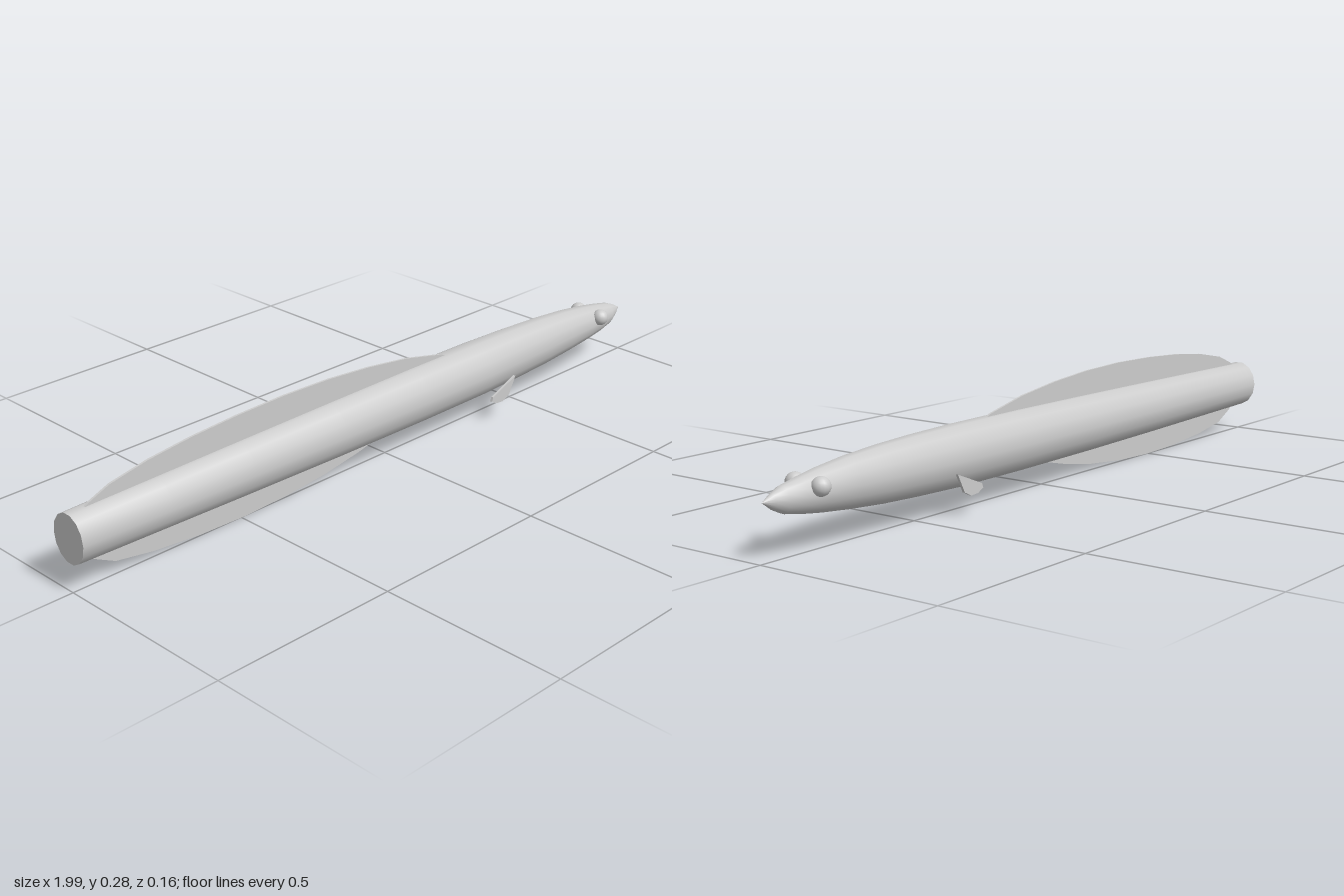
import * as THREE from 'three';

export function createModel() {
  const model = new THREE.Group();
  const skin = new THREE.MeshStandardMaterial({ color: 0xcccccc });
  skin.name = 'pale grey';

  const add = (name, geometry, x = 0, y = 0, z = 0) => {
    const mesh = new THREE.Mesh(geometry, skin);
    mesh.name = name;
    mesh.position.set(x, y, z);
    model.add(mesh);
  };

  // Body stations, tail to snout: x, bottom y, top y, half width
  const stations = [
    [-1, 0.075, 0.2, 0.055], [-0.75, 0.07, 0.203, 0.059], [-0.5, 0.065, 0.206, 0.063],
    [-0.2, 0.06, 0.209, 0.067], [0.1, 0.057, 0.211, 0.069], [0.35, 0.057, 0.21, 0.068],
    [0.5, 0.061, 0.207, 0.063], [0.62, 0.066, 0.202, 0.058], [0.73, 0.074, 0.194, 0.051],
    [0.82, 0.083, 0.183, 0.044], [0.88, 0.091, 0.173, 0.037], [0.93, 0.1, 0.163, 0.027],
    [0.96, 0.114, 0.151, 0.015], [0.99, 0.135, 0.135, 0],
  ];
  const sides = 14;
  const positions = [];
  const indices = [];
  const flat = Math.sin((3 / sides) * Math.PI * 2);
  stations.forEach(([x, bottom, top, half], i) => {
    for (let j = 0; j < sides; j++) {
      const a = (j / sides) * Math.PI * 2;
      const y = (bottom + top) / 2 + ((top - bottom) / 2) * (Math.sin(a) / flat);
      positions.push(x, y, half * Math.cos(a));
      if (i === stations.length - 1) continue;
      const k = (j + 1) % sides;
      const p = i * sides + j, q = i * sides + k;
      indices.push(p, p + sides, q);
      if (i < stations.length - 2) indices.push(q, p + sides, q + sides);
    }
  });
  const body = new THREE.BufferGeometry();
  body.setAttribute('position', new THREE.Float32BufferAttribute(positions, 3));
  body.setIndex(indices);
  body.computeVertexNormals();
  add('body', body);

  // Flat tail end
  const tail = new THREE.CircleGeometry(1, sides);
  tail.scale(0.055, 0.0625 / flat, 1);
  tail.rotateY(-Math.PI / 2);
  add('tailEnd', tail, -1, 0.1375, 0);

  // Thin fins cut from side outlines
  const fin = (outline, depth) => {
    const shape = new THREE.Shape(outline.map(([x, y]) => new THREE.Vector2(x, y)));
    const geometry = new THREE.ExtrudeGeometry(shape, { depth, bevelEnabled: false });
    return geometry.translate(0, 0, -depth / 2);
  };
  add('dorsalFin', fin([
    [-0.96, 0.195], [0.24, 0.205], [0.21, 0.217], [0.08, 0.245], [-0.06, 0.263],
    [-0.2, 0.274], [-0.35, 0.278], [-0.5, 0.275], [-0.64, 0.267], [-0.77, 0.253],
    [-0.88, 0.232], [-0.94, 0.208],
  ], 0.006));
  add('ventralFin', fin([
    [-0.96, 0.078], [-0.94, 0.064], [-0.88, 0.034], [-0.77, 0.016], [-0.63, 0.004],
    [-0.49, 0], [-0.35, 0.005], [-0.22, 0.017], [-0.1, 0.037], [0, 0.06],
  ], 0.006));

  // Paired pectoral fins and eyes
  const pectoral = fin([
    [0.43, 0.11], [0.34, 0.074], [0.335, 0.062], [0.355, 0.052], [0.38, 0.05], [0.405, 0.062],
  ], 0.007);
  for (const [side, s] of [['front', 1], ['back', -1]]) {
    add(side + 'PectoralFin', pectoral, 0, 0, s * 0.075);
    add(side + 'Eye', new THREE.SphereGeometry(0.023, 16, 12), 0.85, 0.152, s * 0.04);
  }

  return model;
}
